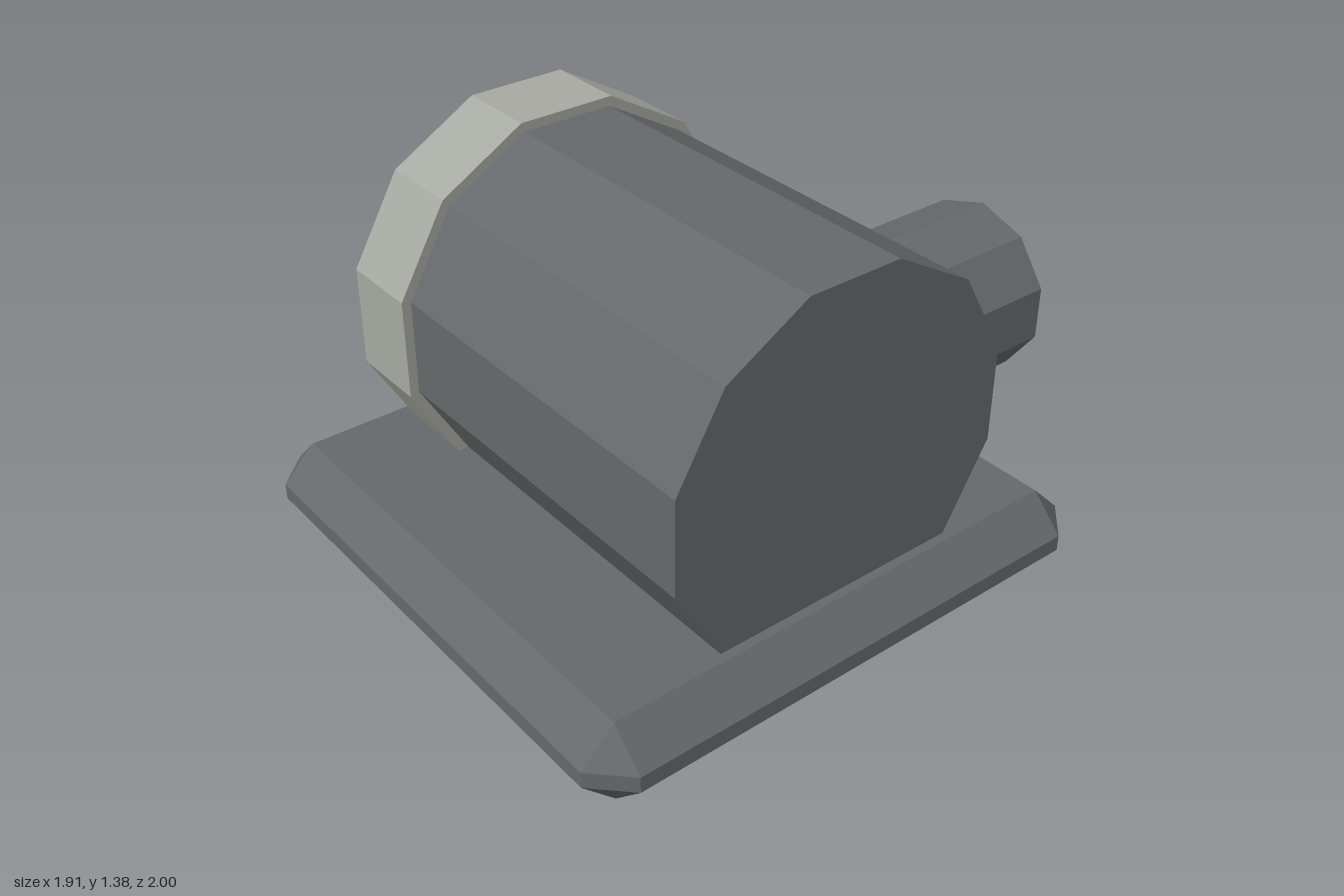
import * as THREE from 'three';
import { ConvexGeometry } from 'three/addons/geometries/ConvexGeometry.js';

export function createModel() {
  const model = new THREE.Group();
  const darkSteel = new THREE.MeshStandardMaterial({ color: 0x66696b, flatShading: true });
  darkSteel.name = 'dark steel';
  const paleMetal = new THREE.MeshStandardMaterial({ color: 0xa7a9a2, flatShading: true });
  paleMetal.name = 'pale metal';
  const openSteel = darkSteel.clone();
  openSteel.name = 'dark steel open';
  openSteel.side = THREE.DoubleSide;

  const add = (name, geometry, material, x, y, z) => {
    const mesh = new THREE.Mesh(geometry, material);
    mesh.name = name;
    mesh.position.set(x, y, z);
    model.add(mesh);
  };

  // Box with every edge and corner chamfered
  const chamferedBox = (w, h, d, c) => {
    const points = [];
    for (const sx of [-1, 1]) for (const sy of [-1, 1]) for (const sz of [-1, 1]) {
      const x = w / 2, y = h / 2, z = d / 2;
      points.push(
        new THREE.Vector3(sx * x, sy * (y - c), sz * (z - c)),
        new THREE.Vector3(sx * (x - c), sy * y, sz * (z - c)),
        new THREE.Vector3(sx * (x - c), sy * (y - c), sz * z));
    }
    return new ConvexGeometry(points);
  };

  // Twelve-sided drum along x with a flat on top
  const drum = (apothem, length) =>
    new THREE.CylinderGeometry(apothem / Math.cos(Math.PI / 12), apothem / Math.cos(Math.PI / 12), length, 12)
      .rotateY(Math.PI / 12)
      .rotateZ(Math.PI / 2);

  // Base slab
  add('base', chamferedBox(1.91, 0.286, 1.916, 0.115), darkSteel, 0, 0.143, 0.042);

  // Tank body and the wider end collar
  add('body', drum(0.611, 1.51), darkSteel, 0.055, 0.734, 0.04);
  add('endCollar', drum(0.643, 0.28), paleMetal, -0.64, 0.734, 0.04);

  // Open ten-sided outlet pipe at the back
  const pipe = new THREE.CylinderGeometry(0.287, 0.287, 0.6, 10, 1, true).rotateX(Math.PI / 2);
  add('outletPipe', pipe, openSteel, 0.335, 0.766, -0.7);

  return model;
}
